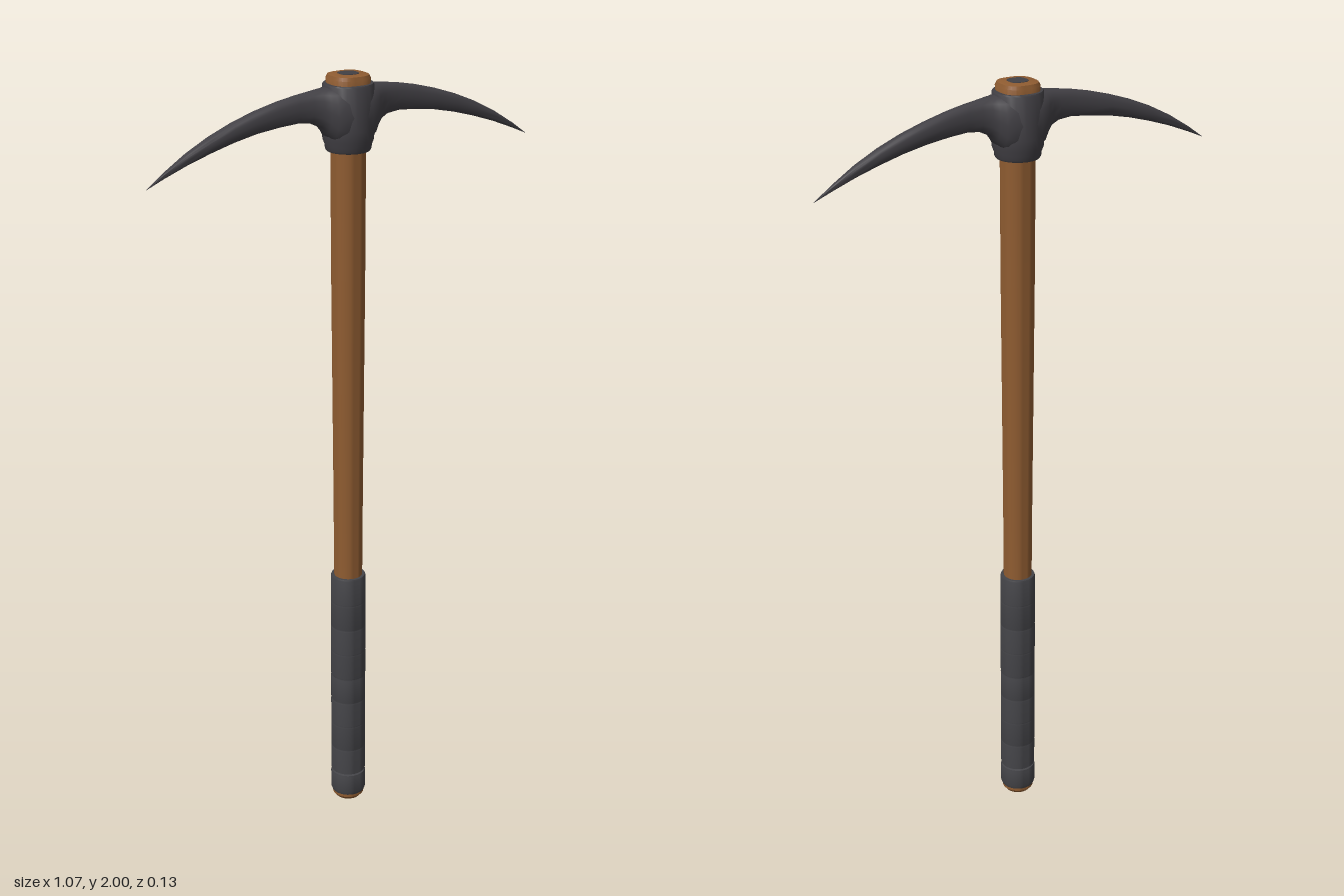
import * as THREE from 'three';
import { toCreasedNormals } from 'three/addons/utils/BufferGeometryUtils.js';

const mat = (name, color) => new THREE.MeshStandardMaterial({ name, color });

// Revolved part from [radius, y] pairs; square > 0 flattens the round towards a soft square
function turned(name, profile, material, square = 0) {
  const geo = new THREE.LatheGeometry(profile.map(([r, y]) => new THREE.Vector2(r, y)), 32);
  const p = geo.attributes.position;
  for (let i = 0; i < p.count; i++) {
    const a = Math.atan2(p.getZ(i), p.getX(i));
    const k = 1 - square * Math.cos(4 * a);
    p.setX(i, p.getX(i) * k);
    p.setZ(i, p.getZ(i) * k);
  }
  const mesh = new THREE.Mesh(toCreasedNormals(geo, 0.6), material);
  mesh.name = name;
  return mesh;
}

// Pick blades: rounded sections lofted from tip to tip, swelling around the eye
function bladeGeometry() {
  // [x, top y, bottom y, half thickness, z centre]
  const half = [
    [0, 1.976, 1.835, 0.061, 0], [0.035, 1.976, 1.836, 0.058, 0],
    [0.055, 1.974, 1.845, 0.05, 0], [0.068, 1.972, 1.865, 0.04, 0],
    [0.082, 1.971, 1.881, 0.031, 0], [0.105, 1.968, 1.892, 0.024, -0.001],
    [0.14, 1.963, 1.896, 0.02, -0.002], [0.19, 1.953, 1.892, 0.019, -0.004],
    [0.25, 1.937, 1.884, 0.019, -0.006], [0.31, 1.917, 1.871, 0.018, -0.006],
    [0.37, 1.892, 1.854, 0.016, -0.006], [0.43, 1.861, 1.834, 0.012, -0.006],
    [0.49, 1.823, 1.81, 0.006, -0.006], [0.535, 1.79, 1.79, 0.0005, -0.005],
  ];
  const sections = [
    ...half.slice(1).reverse().map(([x, ...rest]) => [-x, ...rest]), ...half,
  ];
  const n = 16, pos = [], index = [];
  const soft = (v) => Math.sign(v) * Math.abs(v) ** 0.8;
  sections.forEach(([x, top, bottom, w, zc], s) => {
    for (let i = 0; i < n; i++) {
      const a = (i / n) * Math.PI * 2;
      pos.push(x, (top + bottom) / 2 + soft(Math.cos(a)) * (top - bottom) / 2, zc + soft(Math.sin(a)) * w);
      if (s === sections.length - 1) continue;
      const p = s * n + i, q = s * n + (i + 1) % n;
      index.push(p, q, p + n, q, q + n, p + n);
    }
  });
  const geo = new THREE.BufferGeometry();
  geo.setAttribute('position', new THREE.Float32BufferAttribute(pos, 3));
  geo.setIndex(index);
  return toCreasedNormals(geo, 0.8);
}

export function createModel() {
  const wood = mat('wood', 0x8f5c31);
  const steel = mat('dark steel', 0x424045);
  const rubber = mat('grip rubber', 0x444448);
  const model = new THREE.Group();
  model.name = 'pickaxe';

  // Wooden shaft, thinnest just above the grip
  model.add(turned('shaft', [
    [0, 0], [0.034, 0], [0.042, 0.01], [0.043, 0.025], [0.039, 0.04], [0.037, 0.68],
    [0.038, 0.9], [0.04, 1.2], [0.042, 1.5], [0.043, 1.83], [0.045, 1.95],
  ], wood));

  // Shaft end standing proud of the eye
  model.add(turned('shaftTop', [
    [0.05, 1.95], [0.052, 1.99], [0.048, 1.998], [0.04, 2], [0, 2],
  ], wood, 0.05));

  // Wedge plug set in the shaft end
  model.add(turned('wedgePlug', [[0.025, 1.997], [0.025, 2.001], [0, 2.001]], steel, 0.05));

  // Grip sleeve with faint wrap seams
  const sleeve = [[0.038, 0.084], [0.046, 0.086]];
  for (let i = 1; i < 8; i++) {
    const y = 0.086 + i * 0.074;
    sleeve.push([0.0462, y - 0.003], [0.0453, y], [0.0462, y + 0.003]);
  }
  sleeve.push([0.0455, 0.678], [0.044, 0.682], [0.036, 0.682]);
  model.add(turned('gripSleeve', sleeve, rubber));

  // Separate band at the foot of the grip
  model.add(turned('gripBand', [
    [0.038, 0.018], [0.044, 0.019], [0.047, 0.028], [0.047, 0.074], [0.0455, 0.08], [0.038, 0.082],
  ], rubber));

  // Pick head: eye collar and blades
  const head = new THREE.Group();
  head.name = 'pickHead';
  head.add(turned('eyeCollar', [
    [0.043, 1.82], [0.053, 1.817], [0.056, 1.822], [0.057, 1.832], [0.062, 1.845],
    [0.063, 1.87], [0.062, 1.974], [0.06, 1.978], [0.045, 1.978],
  ], steel));
  const blades = new THREE.Mesh(bladeGeometry(), steel);
  blades.name = 'blades';
  head.add(blades);
  model.add(head);
  return model;
}
